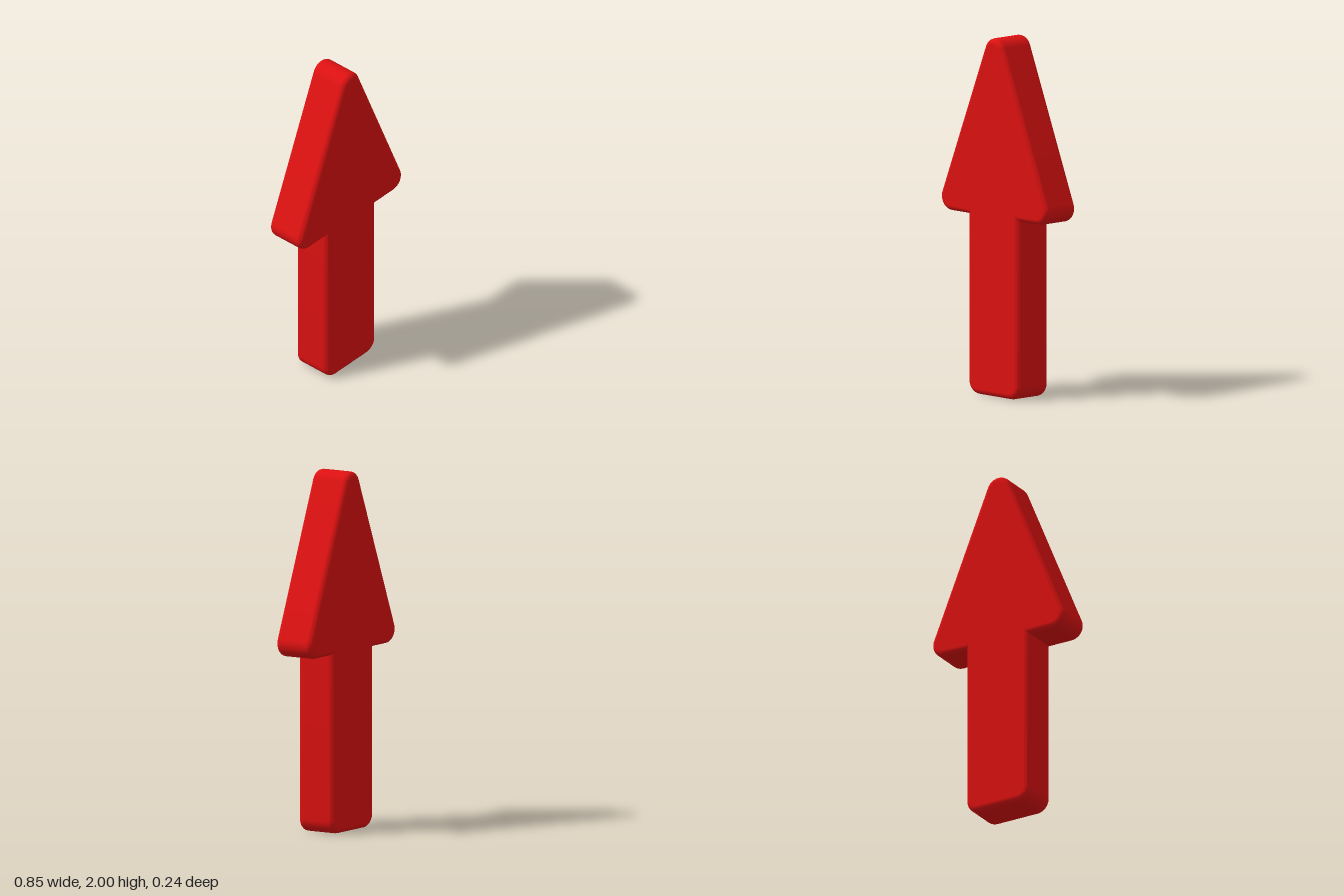
import * as THREE from 'three';
import { toCreasedNormals } from 'three/addons/utils/BufferGeometryUtils.js';

const HALF_DEPTH = 0.118, BEVEL = 0.032, R = 0.076;
const SHAFT = 0.204, HEAD = 0.425, NECK = 1.0, TOP = 2.0;

// Arrow outline, counter-clockwise from the bottom, with rounded outer corners
function arrowOutline() {
  const cx = HEAD - R, cy = NECK + R, ty = TOP - R;
  const slant = Math.atan2(cx, ty - cy); // direction the right sloping edge faces
  const s = new THREE.Shape();
  s.moveTo(-SHAFT + R, 0);
  s.absarc(SHAFT - R, R, R, -Math.PI / 2, 0, false);
  s.lineTo(SHAFT, NECK);
  s.absarc(cx, cy, R, -Math.PI / 2, slant, false);
  s.absarc(0, ty, R, slant, Math.PI - slant, false);
  s.absarc(-cx, cy, R, Math.PI - slant, Math.PI * 1.5, false);
  s.lineTo(-SHAFT, NECK);
  s.absarc(-SHAFT + R, R, R, Math.PI, Math.PI * 1.5, false);
  return s;
}

// Smooth the rounded edges while keeping the flat faces and straight walls flat
function smoothEdges(geometry) {
  const g = toCreasedNormals(geometry, 0.6);
  const p = g.attributes.position, n = g.attributes.normal;
  const v = new THREE.Vector3();
  for (let i = 0; i < p.count; i++) {
    const z = p.getZ(i);
    v.fromBufferAttribute(n, i);
    if (Math.abs(z) > HALF_DEPTH - 1e-4) v.set(0, 0, Math.sign(z));
    else if (Math.abs(z) < HALF_DEPTH - BEVEL + 1e-4) v.setZ(0).normalize();
    n.setXYZ(i, v.x, v.y, v.z);
  }
  return g;
}

export function createModel() {
  const group = new THREE.Group();
  group.name = 'upArrow';

  const depth = 2 * (HALF_DEPTH - BEVEL);
  const geometry = new THREE.ExtrudeGeometry(arrowOutline(), {
    depth, curveSegments: 16,
    bevelEnabled: true, bevelThickness: BEVEL, bevelSize: BEVEL,
    bevelOffset: -BEVEL, bevelSegments: 6,
  });
  geometry.translate(0, 0, -depth / 2);

  const arrow = new THREE.Mesh(
    smoothEdges(geometry),
    new THREE.MeshStandardMaterial({ color: 0xdd1111 })
  );
  arrow.name = 'arrowBody';
  group.add(arrow);
  return group;
}
